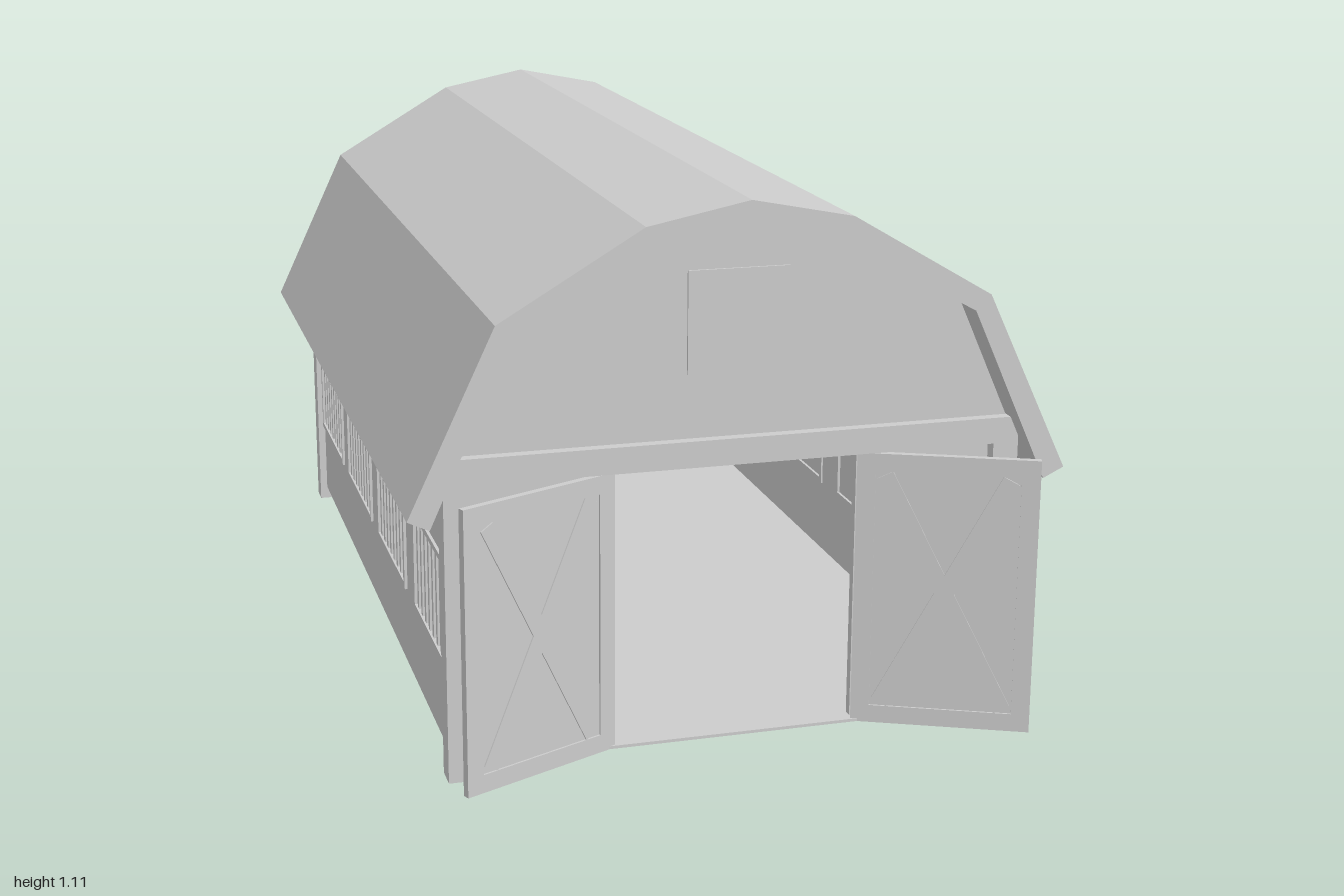
import * as THREE from 'three';

const grey = new THREE.MeshStandardMaterial({ color: 0xcccccc });
grey.name = 'plain grey';

// outer and inner outline of the gambrel roof, right half from eave to ridge
const OUTER = [[0.648, 0.545], [0.48, 0.9], [0.2, 1.065], [0, 1.105]];
const INNER = [[0.606, 0.525], [0.45, 0.87], [0.18, 1.02], [0, 1.06]];
const mirror = (pts) => [...pts, ...pts.slice(0, -1).reverse().map(([x, y]) => [-x, y])];
const toShape = (pts) => new THREE.Shape(pts.map(([x, y]) => new THREE.Vector2(x, y)));

function add(parent, name, geometry) {
  const mesh = new THREE.Mesh(geometry, grey);
  mesh.name = name;
  parent.add(mesh);
  return mesh;
}

// box given by its minimum and maximum corners
function block(parent, name, x0, x1, y0, y1, z0, z1) {
  const mesh = add(parent, name, new THREE.BoxGeometry(x1 - x0, y1 - y0, z1 - z0));
  mesh.position.set((x0 + x1) / 2, (y0 + y1) / 2, (z0 + z1) / 2);
  return mesh;
}

function extrude(parent, name, shape, z0, z1) {
  const geometry = new THREE.ExtrudeGeometry(shape, { depth: z1 - z0, bevelEnabled: false });
  const mesh = add(parent, name, geometry);
  mesh.position.z = z0;
  return mesh;
}

function rect(x0, x1, y0, y1, Type = THREE.Shape) {
  const s = new Type();
  s.moveTo(x0, y0);
  s.lineTo(x1, y0);
  s.lineTo(x1, y1);
  s.lineTo(x0, y1);
  s.closePath();
  return s;
}

function frame(x0, x1, y0, y1, t) {
  const s = rect(x0, x1, y0, y1);
  s.holes.push(rect(x0 + t, x1 - t, y0 + t, y1 - t, THREE.Path));
  return s;
}

// long wall with four slatted windows; drawn along x, then turned to run along z
function sideWall(side) {
  const g = new THREE.Group();
  g.name = 'sideWall';
  const windows = [[0.455, 0.81], [-0.01, 0.345], [-0.465, -0.11], [-0.91, -0.555]];
  const wall = rect(-0.95, 0.85, 0.03, 0.63);
  for (const [a, b] of windows) {
    wall.holes.push(rect(a + 0.005, b - 0.005, 0.205, 0.415, THREE.Path));
    extrude(g, 'windowFrame', frame(a, b, 0.2, 0.42, 0.012), -0.024, 0.006);
    block(g, 'windowPanel', a + 0.01, b - 0.01, 0.21, 0.41, -0.018, -0.012);
    const count = 8, step = (b - a - 0.024) / count;
    for (let i = 0; i < count; i++) {
      const x = a + 0.012 + step * (i + 0.5);
      block(g, 'windowSlat', x - 0.008, x + 0.008, 0.212, 0.408, -0.012, 0.002);
    }
  }
  extrude(g, 'wallBoard', wall, -0.02, 0);
  // local x becomes -z on the right-hand turn, so flip the span for one side
  const holder = new THREE.Group();
  holder.name = 'sideWall';
  holder.add(g);
  g.rotation.y = -Math.PI / 2;
  holder.position.x = -0.555;
  if (side > 0) {
    g.position.x = -0.02;
    holder.position.x = 0.555 + 0.02;
    // same board, with its trim moved through to the other face
    for (const m of g.children) {
      const depth = m.geometry.type === 'ExtrudeGeometry' ? m.geometry.parameters.options.depth : 0;
      m.position.z = -m.position.z - depth;
    }
  }
  return holder;
}

// framed, cross-braced door leaf; the hinge is the local origin
function doorLeaf() {
  const g = new THREE.Group();
  g.name = 'door';
  const w = 0.35, y0 = 0.03, y1 = 0.588, t = 0.036;
  block(g, 'doorBoard', 0, w, y0, y1, -0.003, 0.003);
  extrude(g, 'doorFrame', frame(0, w, y0, y1, t), -0.007, 0.007);
  const dx = w - 2 * t, dy = y1 - y0 - 2 * t;
  for (const s of [-1, 1]) {
    const brace = add(g, 'doorBrace', new THREE.BoxGeometry(0.034, Math.hypot(dx, dy) - 0.03, 0.012));
    brace.position.set(w / 2, (y0 + y1) / 2, 0);
    brace.rotation.z = s * Math.atan2(dx - 0.03, dy);
  }
  return g;
}

export function createModel() {
  const barn = new THREE.Group();
  barn.name = 'barn';

  // roof shell
  extrude(barn, 'roof', toShape([...mirror(OUTER), ...mirror(INNER).reverse()]), -1, 0.92);

  // floor
  block(barn, 'floor', -0.55, 0.55, 0.03, 0.036, -0.95, 0.865);

  // gable ends, closed up to the underside of the roof
  const gable = toShape(mirror([[0.562, 0.62], ...INNER.slice(1)]));
  extrude(barn, 'frontGable', gable, 0.83, 0.85);
  extrude(barn, 'backGable', gable, -0.95, -0.93);

  // loft hatch
  block(barn, 'loftHatch', -0.1, 0.1, 0.765, 0.965, 0.85, 0.855);

  // back wall
  block(barn, 'backWall', -0.54, 0.54, 0.03, 0.63, -0.945, -0.93);

  // cross beams
  block(barn, 'frontBeam', -0.572, 0.572, 0.588, 0.64, 0.82, 0.872);
  block(barn, 'backBeam', -0.572, 0.572, 0.588, 0.64, -0.97, -0.918);

  for (const side of [-1, 1]) {
    // corner posts
    for (const z of [0.846, -0.944]) {
      block(barn, 'cornerPost', side * 0.546 - 0.026, side * 0.546 + 0.026, 0, 0.59, z - 0.026, z + 0.026);
    }
    barn.add(sideWall(side));

    // front wall beside the doorway
    block(barn, 'frontWall', side * 0.385 - 0.14, side * 0.385 + 0.14, 0.03, 0.6, 0.828, 0.846);

    // open doors swung outwards
    const door = doorLeaf();
    const swing = Math.atan2(0.145, 0.318);
    door.position.set(side * 0.245, 0, 0.853);
    door.rotation.y = side > 0 ? -swing : Math.PI + swing;
    barn.add(door);
  }
  return barn;
}
